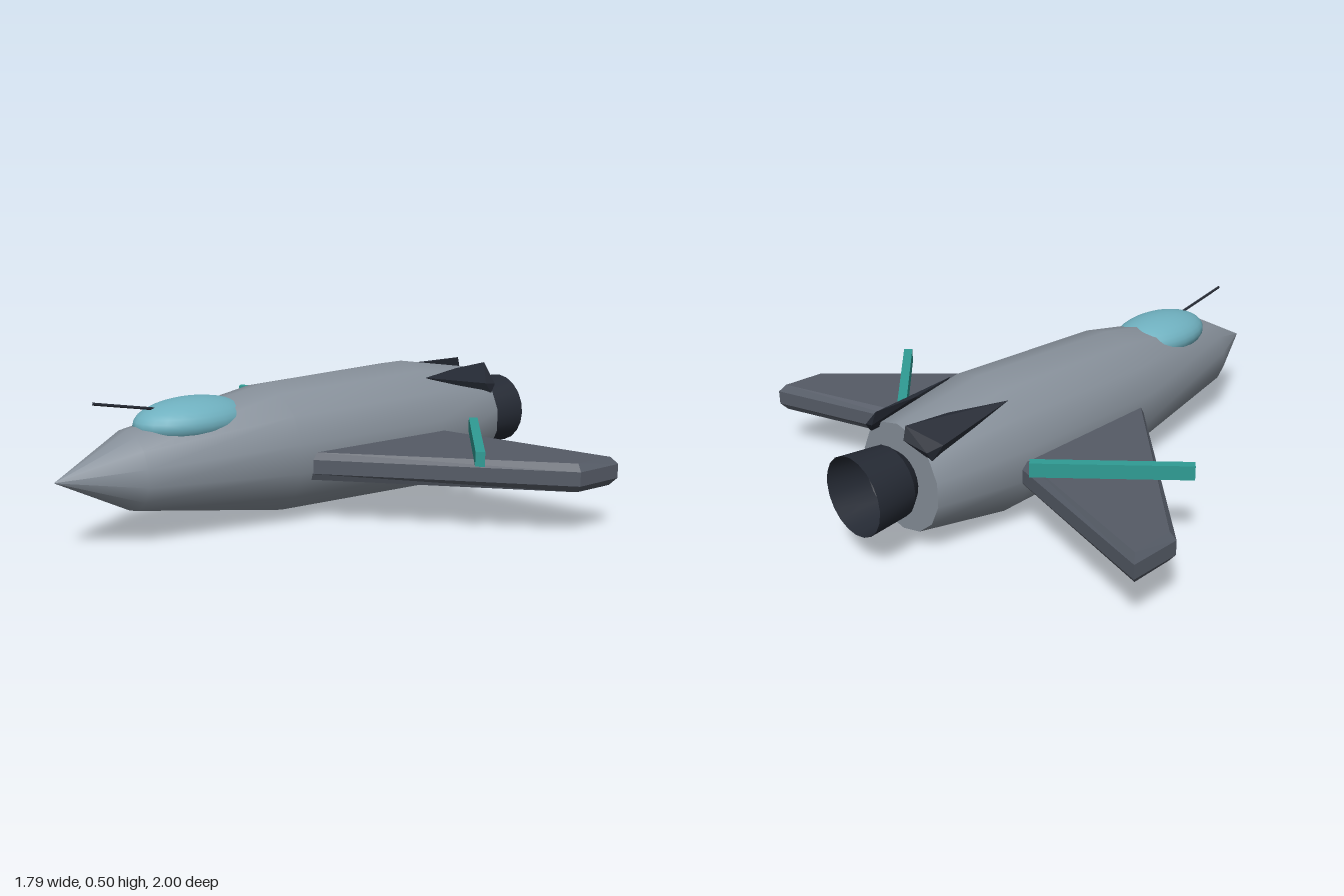
import * as THREE from 'three';
import { toCreasedNormals } from 'three/addons/utils/BufferGeometryUtils.js';
import { ConvexGeometry } from 'three/addons/geometries/ConvexGeometry.js';

const AXIS_Y = 0.258; // height of the fuselage axis

const paint = (color, extra = {}) => new THREE.MeshStandardMaterial({ color, ...extra });

// Body of revolution along z; profile is [radius, z] from tail to nose
function turned(profile, sides) {
  const geo = new THREE.LatheGeometry(profile.map(([r, z]) => new THREE.Vector2(r, z)), sides);
  geo.rotateX(Math.PI / 2);
  geo.translate(0, AXIS_Y, 0);
  return toCreasedNormals(geo, 0.6);
}

export function createModel() {
  const model = new THREE.Group();
  model.name = 'jet';
  const hull = paint(0x87909a);
  const wingPaint = paint(0x555b66);
  const teal = paint(0x2f9c94);
  const dark = paint(0x252a34);
  const nozzlePaint = paint(0x252a34, { side: THREE.DoubleSide });
  const glass = paint(0x6fb0bf);

  const add = (name, geo, mat) => {
    const mesh = new THREE.Mesh(geo, mat);
    mesh.name = name;
    model.add(mesh);
    return mesh;
  };

  // Fuselage with pointed nose and flat tail
  add('fuselage', turned([[0, -0.81], [0.19, -0.81], [0.25, -0.46], [0.234, 0.18], [0.14, 0.73], [0, 1]], 14), hull);

  // Open exhaust nozzle with a closed throat
  add('nozzle', turned([[0.137, -1], [0.124, -0.85], [0.09, -0.81]], 20), nozzlePaint);
  add('nozzleThroat', turned([[0, -0.815], [0.088, -0.815], [0.088, -0.8]], 20), nozzlePaint);

  // Canopy bubble sunk into the nose
  const canopy = add('canopy', new THREE.SphereGeometry(1, 24, 16), glass);
  canopy.scale.set(0.135, 0.08, 0.22);
  canopy.position.set(0, 0.4, 0.48);

  // Probe in front of the canopy
  const probePath = new THREE.LineCurve3(new THREE.Vector3(0, 0.45, 0.6), new THREE.Vector3(0, 0.5, 0.855));
  add('noseProbe', new THREE.TubeGeometry(probePath, 1, 0.005, 8), dark);

  for (const [side, s] of [['left', 1], ['right', -1]]) {
    // Swept wing with bevelled edges
    const outline = [[0.19, 0.167], [0.893, -0.49], [0.893, -0.68], [0.19, -0.477]];
    const shape = new THREE.Shape(outline.map(([x, z]) => new THREE.Vector2(s * x, z)));
    const wing = new THREE.ExtrudeGeometry(shape, {
      depth: 0.05, bevelThickness: 0.025, bevelSize: 0.02, bevelOffset: -0.02, bevelSegments: 1,
    });
    wing.rotateX(Math.PI / 2);
    wing.translate(0, 0.25, 0);
    add(side + 'Wing', wing, wingPaint);

    // Diagonal bar lying on the wing
    const bar = add(side + 'WingBar', new THREE.BoxGeometry(0.53, 0.05, 0.032), teal);
    bar.position.set(s * 0.522, 0.305, -0.365);
    bar.rotation.y = -s * 0.725;

    // Wedge-shaped tail fin hugging the upper rear hull
    const fin = [
      [0.145, 0.462, -0.46], [0.085, 0.468, -0.67], [0.075, 0.474, -0.835], [0.08, 0.43, -0.85],
      [0.165, 0.41, -0.76], [0.155, 0.4, -0.82], [0.155, 0.365, -0.8], [0.1, 0.4, -0.8], [0.12, 0.43, -0.55],
    ];
    add(side + 'TailFin', new ConvexGeometry(fin.map(([x, y, z]) => new THREE.Vector3(s * x, y, z))), dark);
  }
  return model;
}
